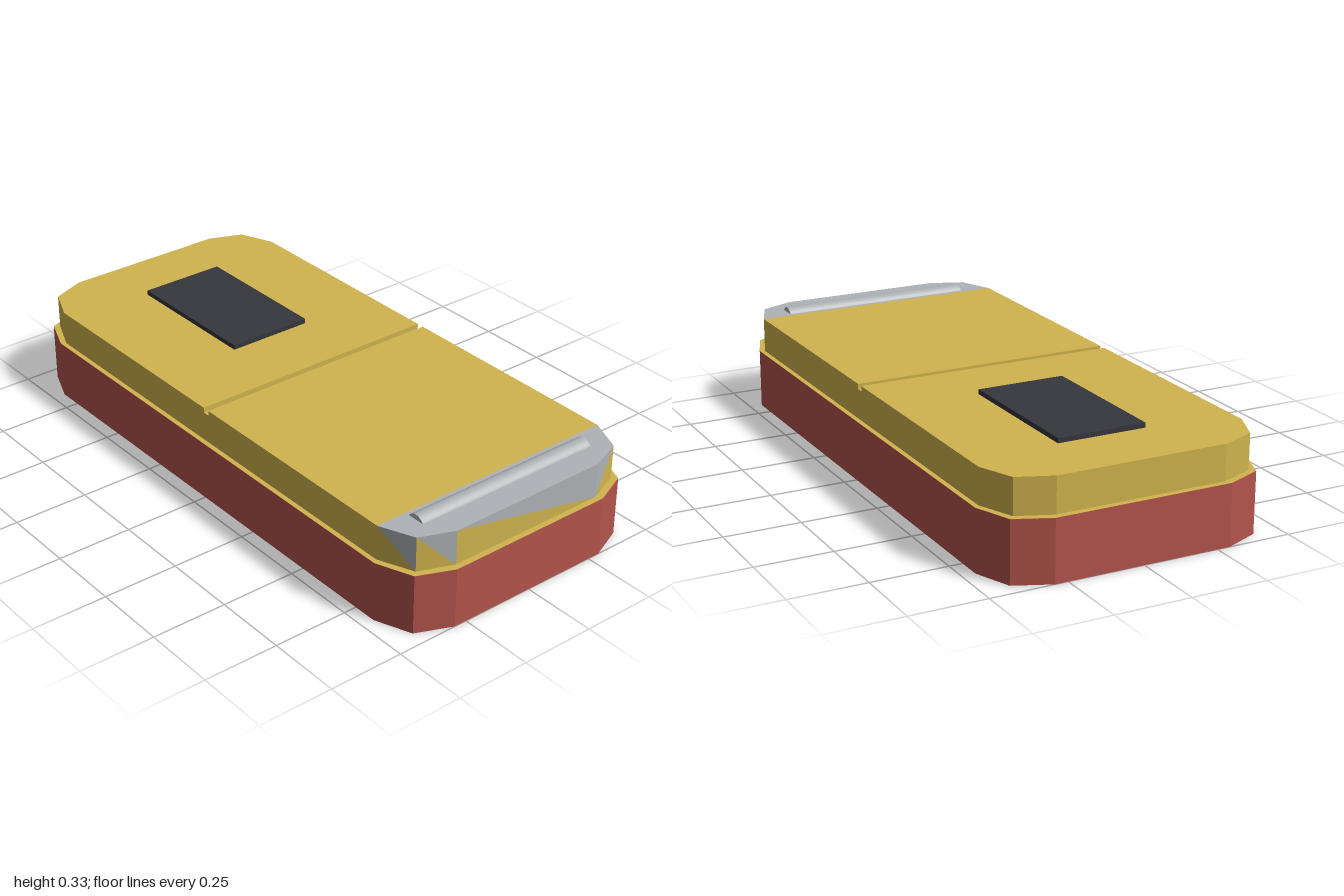
import * as THREE from 'three';

const mat = (name, color) => Object.assign(new THREE.MeshStandardMaterial({ color }), { name });

export function createModel() {
  const red = mat('red', 0xb4544c);
  const gold = mat('gold', 0xd0b44e);
  const grey = mat('grey', 0xaeb2b6);
  const dark = mat('charcoal', 0x36363e);
  const model = new THREE.Group();
  const add = (name, geo, material, x = 0, y = 0, z = 0) => {
    const mesh = new THREE.Mesh(geo, material);
    mesh.name = name;
    mesh.position.set(x, y, z);
    model.add(mesh);
  };

  // Flat outline in plan: points run along +z from -x to +x, then mirror to -z
  const outline = (half) => new THREE.Shape(
    [...half, ...half.map(([x, z]) => [x, -z]).reverse()].map(([x, z]) => new THREE.Vector2(x, z)));
  const slab = (half, depth) =>
    new THREE.ExtrudeGeometry(outline(half), { depth, bevelEnabled: false }).rotateX(-Math.PI / 2);
  const plate = (half) => new THREE.ShapeGeometry(outline(half)).rotateX(-Math.PI / 2);
  const mirrorX = (points) => points.map(([x, z]) => [-x, z]).reverse();

  const Y0 = 0.2, Y1 = 0.317;

  // Base with two-step chamfered corners, and its ledge
  const baseEnd = [[0.83, 0.457], [0.95, 0.41], [1, 0.293]];
  const baseHalf = [...mirrorX(baseEnd), ...baseEnd];
  add('base', slab(baseHalf, Y0), red);
  add('ledge', plate(baseHalf), gold, 0, Y0 + 0.001);

  // Lid halves either side of the groove
  const end = [[0.82, 0.441], [0.935, 0.393], [0.98, 0.28]];
  add('lidRightHalf', slab([...mirrorX(end), [-0.015, 0.441]], Y1 - Y0), gold, 0, Y0);
  add('lidLeftHalf', slab([[0.01, 0.441], [0.82, 0.441]], Y1 - Y0), gold, 0, Y0);
  add('grooveFloor', new THREE.BoxGeometry(0.025, 0.1, 0.882), gold, -0.0025, Y0 + 0.05);

  // End cap: top plate and walls divided diagonally in two colours
  add('endCapTop', plate(end), grey, 0, Y1);
  const ring = [...end, ...end.map(([x, z]) => [x, -z]).reverse()];
  const lower = [], upper = [];
  for (let i = 0; i < 5; i++) {
    const [a, b] = [ring[i], ring[i + 1]];
    const ab = [a[0], Y0, a[1]], at = [a[0], Y1, a[1]];
    const bb = [b[0], Y0, b[1]], bt = [b[0], Y1, b[1]];
    if (i < 3) {
      lower.push(...ab, ...bb, ...at);
      upper.push(...at, ...bb, ...bt);
    } else {
      lower.push(...ab, ...bb, ...bt);
      upper.push(...ab, ...bt, ...at);
    }
  }
  const facets = (points) => {
    const geo = new THREE.BufferGeometry();
    geo.setAttribute('position', new THREE.Float32BufferAttribute(points, 3));
    geo.computeVertexNormals();
    return geo;
  };
  add('endCapLowerWall', facets(lower), gold);
  add('endCapUpperWall', facets(upper), grey);

  // Rounded bar on the end cap
  add('bar', new THREE.CylinderGeometry(0.035, 0.035, 0.67, 24).rotateX(Math.PI / 2), grey, 0.865, 0.299);

  // Raised dark pad
  add('pad', new THREE.BoxGeometry(0.5, 0.03, 0.295), dark, -0.505, 0.318, -0.003);

  return model;
}
